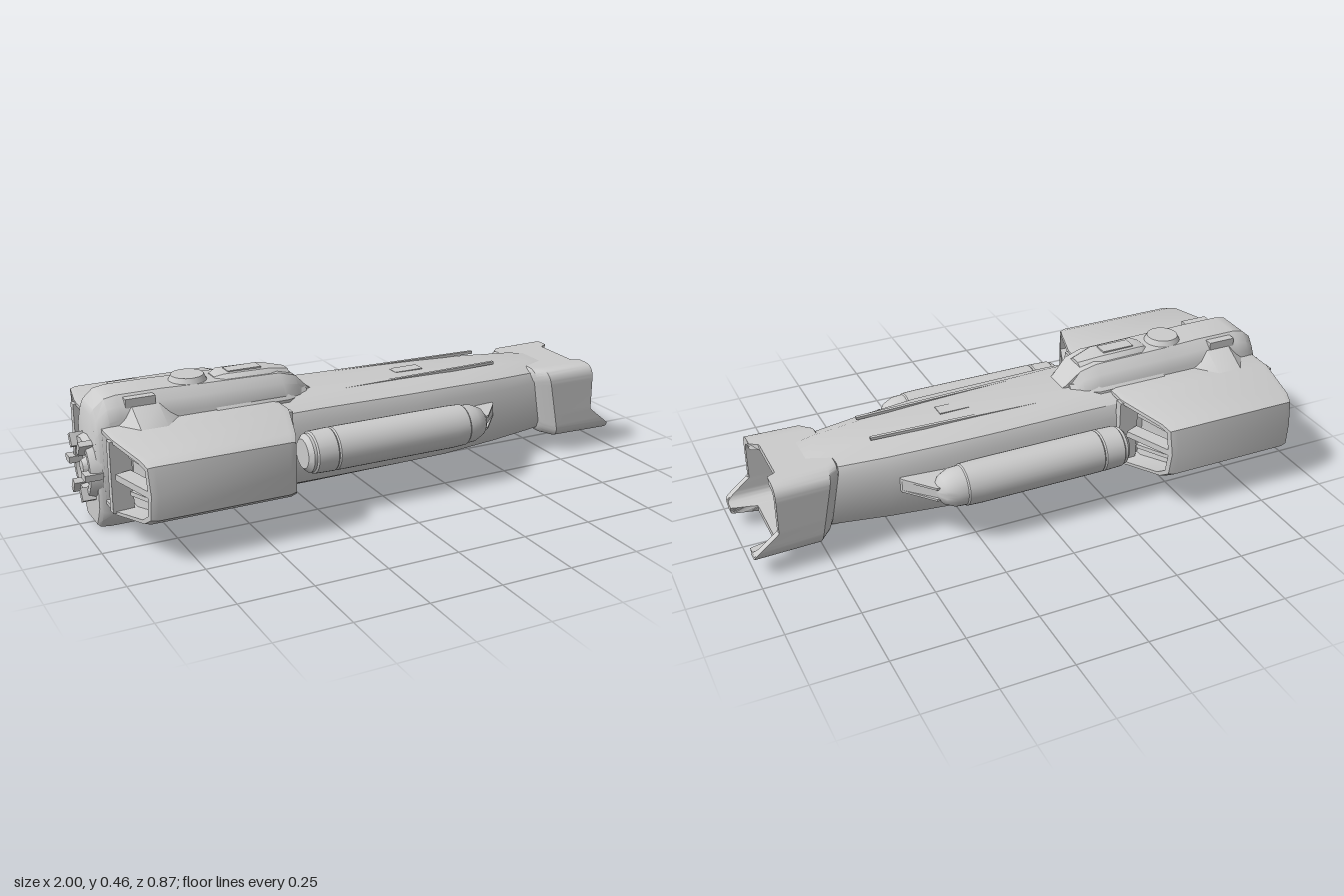
import * as THREE from 'three';
import { toCreasedNormals, mergeVertices } from 'three/addons/utils/BufferGeometryUtils.js';

const grey = new THREE.MeshStandardMaterial({ color: 0xcccccc, side: THREE.DoubleSide });

function part(name, geometry, parent, crease = 0.55) {
  const mesh = new THREE.Mesh(toCreasedNormals(geometry, crease), grey);
  mesh.name = name;
  parent.add(mesh);
  return mesh;
}

// Skin a series of rings of [x, y, z] points and close both ends.
function loft(rings) {
  const n = rings[0].length, pos = rings.flat(2), index = [];
  for (let i = 0; i < rings.length - 1; i++) {
    for (let j = 0; j < n; j++) {
      const a = i * n + j, b = i * n + (j + 1) % n;
      index.push(a, b, a + n, b, b + n, a + n);
    }
  }
  [0, rings.length - 1].forEach((r, end) => {
    const c = pos.length / 3;
    for (let k = 0; k < 3; k++) pos.push(rings[r].reduce((s, p) => s + p[k], 0) / n);
    for (let j = 0; j < n; j++) {
      const a = r * n + j, b = r * n + (j + 1) % n;
      if (end) index.push(c, a, b); else index.push(c, b, a);
    }
  });
  const g = new THREE.BufferGeometry();
  g.setAttribute('position', new THREE.Float32BufferAttribute(pos, 3));
  g.setIndex(index);
  return g;
}

// Full ring at x from a half outline of [z, y], listed top to bottom.
const mirrored = (x, half) => [
  ...half.map(([z, y]) => [x, y, z]),
  ...half.slice().reverse().map(([z, y]) => [x, y, -z]),
];

// Chamfered section: half width, top, bottom, flat top half width, chamfer height.
const section = (x, w, top, bot, flat, ch) => mirrored(x, [
  [flat, top], [w - 0.02, top - ch * 0.45], [w, top - ch],
  [w, bot + ch], [w - 0.02, bot + ch * 0.45], [flat, bot],
]);

function box(name, parent, size, at, rotY = 0) {
  const m = part(name, new THREE.BoxGeometry(...size), parent);
  m.position.set(...at);
  m.rotation.y = rotY;
  return m;
}

function lathe(profile, segments) {
  const g = new THREE.LatheGeometry(profile.map(([x, r]) => new THREE.Vector2(r, x)), segments);
  return mergeVertices(g.rotateZ(-Math.PI / 2));
}

const clamp01 = (t) => Math.min(1, Math.max(0, t));
const mix = (a, b, t) => a + (b - a) * clamp01(t);

// Rounded rectangle ring whose x follows a rule of height and side position.
function roundedRing(w, bot, top, r, xRule) {
  const s = new THREE.Shape();
  s.moveTo(0, top).lineTo(w - r, top).quadraticCurveTo(w, top, w, top - r);
  s.lineTo(w, bot + r).quadraticCurveTo(w, bot, w - r, bot);
  s.lineTo(-w + r, bot).quadraticCurveTo(-w, bot, -w, bot + r);
  s.lineTo(-w, top - r).quadraticCurveTo(-w, top, -w + r, top).lineTo(0, top);
  return s.getSpacedPoints(180).slice(0, -1).map((p) => [xRule(p.y, Math.abs(p.x)), p.y, p.x]);
}

function buildNose(parent) {
  const nose = new THREE.Group();
  nose.name = 'nose';
  parent.add(nose);
  // Front rim: lower corners reach forward, top and bottom are notched.
  const rim = (y, z) => {
    if (y > 0.27) return mix(0.885, 0.915, (z - 0.095) / 0.015);
    const side = mix(1.0, 0.915, (y - 0.085) / 0.07);
    return y < 0.1 ? mix(0.91, side, (z - 0.105) / 0.02) : side;
  };
  const rear = (off) => (y) => off + mix(0.05, 0, (y - 0.06) / 0.26);
  part('noseShell', loft([
    roundedRing(0.14, 0.08, 0.315, 0.05, rear(0.68)),
    roundedRing(0.155, 0.068, 0.325, 0.05, rear(0.69)),
    roundedRing(0.19, 0.06, 0.325, 0.05, rear(0.725)),
    roundedRing(0.196, 0.058, 0.325, 0.05, rim),
    roundedRing(0.172, 0.08, 0.303, 0.035, rim),
    roundedRing(0.168, 0.083, 0.3, 0.035, () => 0.8),
  ]), nose, 0.5);
  for (const s of [1, -1]) {
    box('nosePanel', nose, [0.03, 0.22, 0.095], [0.805, 0.192, s * 0.085]);
    box('noseRib', nose, [0.05, 0.22, 0.014], [0.81, 0.192, s * 0.15]);
  }
  box('noseStep', nose, [0.05, 0.035, 0.07], [0.815, 0.1, 0]);
}

// One side engine, built on +z.
function buildEngine() {
  const g = new THREE.Group();
  const outline = [[0.08, 0.362], [0.2, 0.362], [0.385, 0.345], [0.422, 0.33], [0.435, 0.24],
    [0.425, 0.155], [0.39, 0.132], [0.2, 0.096], [0.08, 0.096]];
  const frontX = (z) => mix(-0.33, -0.41, (z - 0.24) / 0.195);
  const backX = (z) => mix(-0.935, -0.885, (z - 0.26) / 0.175);
  const ring = (xRule, off, k) => outline.map(([z, y]) => {
    const zz = 0.28 + (z - 0.28) * k, yy = 0.235 + (y - 0.235) * k;
    return [xRule(zz) + off, yy, zz];
  });
  part('engineHousing', loft([
    ring(backX, 0.07, 0.83), ring(backX, 0, 0.86), ring(backX, 0, 0.96), ring(backX, 0.02, 1),
    ring(frontX, -0.02, 1), ring(frontX, 0, 0.96), ring(frontX, 0, 0.86), ring(frontX, -0.08, 0.83),
  ]), g);
  // Frame bars across both recessed ends.
  for (const [rule, off] of [[frontX, -0.03], [backX, 0.03]]) {
    const dx = rule(0.43) - rule(0.24), angle = Math.atan2(dx, 0.19);
    box('engineCrossBar', g, [0.055, 0.022, 0.2], [rule(0.33) + off, 0.24, 0.325], angle);
    box('enginePost', g, [0.07, 0.24, 0.03], [rule(0.2) + off - Math.sign(off) * 0.005, 0.23, 0.2]);
    for (const s of [1, -1]) {
      const rib = box('engineRib', g, [0.02, 0.014, 0.19], [rule(0.32) + off * 2, 0.24 + s * 0.055, 0.32], angle);
      rib.rotation.x = s * 0.1;
    }
  }
  return g;
}

// One long pod and its pylon, built on +z.
function buildPod() {
  const g = new THREE.Group();
  const pod = part('pod', lathe([
    [-0.31, 0], [-0.31, 0.05], [-0.295, 0.066], [-0.285, 0.066], [-0.28, 0.072], [-0.21, 0.074],
    [-0.205, 0.07], [-0.2, 0.074], [0.25, 0.074], [0.3, 0.072], [0.305, 0.068], [0.34, 0.066],
    [0.375, 0.05], [0.393, 0.028], [0.4, 0],
  ], 32), g);
  pod.position.set(0, 0.216, 0.262);
  const plate = (name, y, h, reach) => {
    const s = new THREE.Shape([[0.26, 0.15], [0.49, 0.15], [0.485, 0.185], [reach, 0.285], [0.3, 0.285]]
      .map((p) => new THREE.Vector2(...p)));
    const m = part(name, new THREE.ExtrudeGeometry(s, { depth: h, bevelEnabled: false }).rotateX(Math.PI / 2), g);
    m.position.y = y + h;
  };
  plate('pylonCore', 0.198, 0.035, 0.385);
  plate('pylonFin', 0.233, 0.008, 0.4);
  plate('pylonFin', 0.19, 0.008, 0.4);
  box('podMount', g, [0.4, 0.05, 0.05], [-0.05, 0.216, 0.185]);
  return g;
}

function bothSides(name, build, parent) {
  for (const s of [1, -1]) {
    const g = build();
    g.name = (s > 0 ? 'left' : 'right') + name;
    g.scale.z = s;
    parent.add(g);
  }
}

export function createModel() {
  const ship = new THREE.Group();
  ship.name = 'spaceship';

  part('hull', loft([
    section(-0.88, 0.17, 0.35, 0.06, 0.1, 0.08),
    section(-0.6, 0.19, 0.36, 0.04, 0.105, 0.08),
    section(-0.2, 0.192, 0.362, 0.04, 0.105, 0.075),
    section(0.15, 0.19, 0.358, 0.04, 0.09, 0.075),
    section(0.3, 0.187, 0.355, 0.043, 0.082, 0.07),
    section(0.52, 0.168, 0.347, 0.05, 0.07, 0.07),
    section(0.7, 0.142, 0.335, 0.06, 0.06, 0.06),
    section(0.77, 0.135, 0.325, 0.065, 0.055, 0.06),
  ]), ship);
  box('hullHatch', ship, [0.11, 0.01, 0.05], [0.225, 0.354, 0]);
  for (const s of [1, -1]) {
    box('hullRail', ship, [0.8, 0.01, 0.012], [0.15, 0.355, s * 0.087], s * 0.035);
  }

  // Tall spine carrying the deck above and the keel below.
  part('spine', loft([
    section(-0.955, 0.095, 0.39, 0.012, 0.055, 0.07),
    section(-0.945, 0.105, 0.41, 0.003, 0.06, 0.07),
    section(-0.91, 0.115, 0.44, 0, 0.062, 0.065),
    section(-0.87, 0.115, 0.447, 0, 0.062, 0.065),
    section(-0.72, 0.115, 0.447, 0, 0.062, 0.065),
    section(-0.66, 0.115, 0.445, 0.012, 0.062, 0.065),
    section(-0.58, 0.115, 0.443, 0.035, 0.065, 0.065),
    section(-0.3, 0.115, 0.438, 0.042, 0.065, 0.065),
    section(-0.24, 0.1, 0.42, 0.045, 0.06, 0.06),
    section(-0.19, 0.07, 0.37, 0.05, 0.05, 0.05),
    section(-0.16, 0.06, 0.35, 0.06, 0.04, 0.05),
  ]), ship, 0.6);
  const skirt = (x, top, w) => mirrored(x, [[0.1, top], [w, 0.355], [w, 0.33]]);
  part('deckSkirt', loft([skirt(-0.88, 0.37, 0.13), skirt(-0.83, 0.412, 0.2),
    skirt(-0.74, 0.412, 0.2), skirt(-0.68, 0.37, 0.13)]), ship);
  const collar = (x, w, top) => mirrored(x, [[w - 0.02, top], [w, top - 0.02], [w, 0.33]]);
  part('deckCollar', loft([collar(-0.55, 0.125, 0.38), collar(-0.29, 0.125, 0.38),
    collar(-0.2, 0.075, 0.375)]), ship);

  // Deck details: bridge block, turret and aft blocks.
  const bridge = (x, w, top) => mirrored(x, [[w - 0.02, top], [w, top - 0.015], [w, 0.4]]);
  part('bridge', loft([bridge(-0.52, 0.045, 0.445), bridge(-0.49, 0.06, 0.455),
    bridge(-0.33, 0.06, 0.452), bridge(-0.25, 0.04, 0.435)]), ship);
  box('bridgeWindow', ship, [0.12, 0.006, 0.05], [-0.41, 0.455, 0]);
  const turret = part('turret', new THREE.CylinderGeometry(0.055, 0.08, 0.05, 32), ship);
  turret.position.set(-0.605, 0.437, 0);
  for (const s of [1, -1]) box('aftBlock', ship, [0.1, 0.03, 0.03], [-0.8, 0.425, s * 0.085]);

  // Rear exhaust ring, core and prongs.
  const exhaust = new THREE.Group();
  exhaust.name = 'exhaust';
  exhaust.position.y = 0.2;
  ship.add(exhaust);
  part('exhaustRing', lathe([[-0.945, 0.075], [-0.978, 0.08], [-0.978, 0.1], [-0.94, 0.115]], 16), exhaust);
  part('exhaustCore', lathe([[-0.985, 0], [-0.98, 0.022], [-0.95, 0.035]], 16), exhaust);
  for (let i = 0; i < 6; i++) {
    const a = (i + 0.5) * Math.PI / 3;
    const prong = box('exhaustProng', exhaust, [0.06, 0.045, 0.022], [-0.97, Math.cos(a) * 0.092, Math.sin(a) * 0.092]);
    prong.rotation.x = a;
  }

  buildNose(ship);
  bothSides('Engine', buildEngine, ship);
  bothSides('Pod', buildPod, ship);
  return ship;
}
